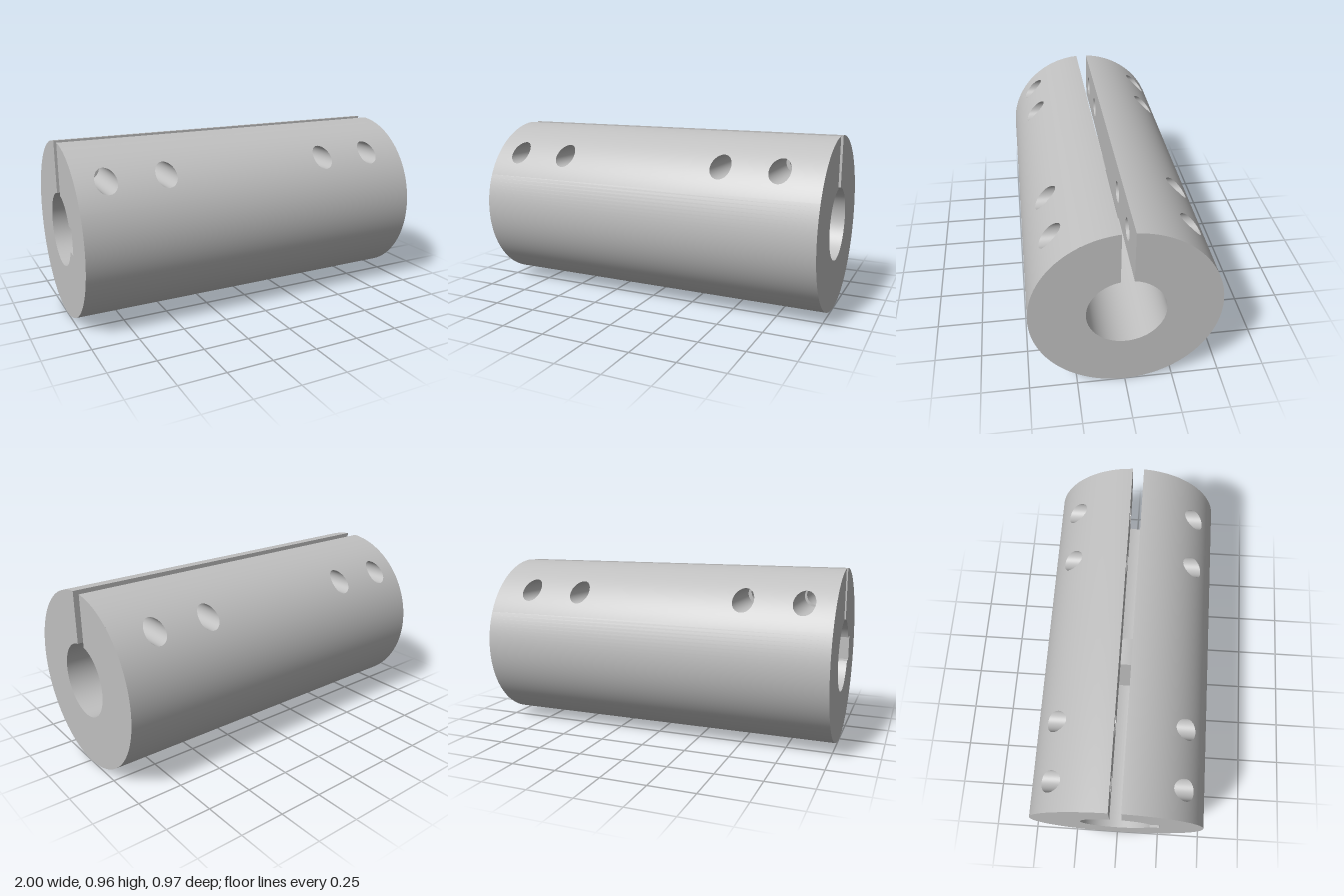
import * as THREE from 'three';
import { ParametricGeometry } from 'three/addons/geometries/ParametricGeometry.js';

const R = 0.483, BORE = 0.2, SLOT = 0.033;             // outer radius, bore radius, half slot width
const HOLE_R = 0.058, HOLE_Y = 0.327;                  // cross holes, height above the axis
const WEB = [-0.13, 0.03];                             // solid wall between the two bores
const KEY = 0.07, KEY_Z = 0.243;                       // keyway half width and depth
const A0 = Math.asin(SLOT / R), AB = Math.asin(SLOT / BORE), BAND = 1.15;
const AK = Math.asin(KEY / BORE), TAU = Math.PI * 2;
const { lerp } = THREE.MathUtils;

export function createModel() {
  const steel = new THREE.MeshStandardMaterial({ color: 0xc0c0c0 });
  steel.name = 'steel grey';
  const model = new THREE.Group();
  model.name = 'splitCoupling';
  model.position.y = R;                                // built around its axis

  const add = (name, geometry) => {
    const mesh = new THREE.Mesh(geometry, steel);
    mesh.name = name;
    model.add(mesh);
    return mesh;
  };
  const patch = (name, f, nu, nv) => add(name, new ParametricGeometry(f, nu, nv));

  // part of a cylinder wall; angles run from the top towards +z. Faces inward when x0 < x1
  const arc = (name, x0, x1, a0, a1, r, n) => patch(name, (u, v, p) => {
    const a = lerp(a0, a1, v);
    p.set(lerp(x0, x1, u), r * Math.cos(a), r * Math.sin(a));
  }, 1, n);

  // flat rectangle facing e1 x e2
  const quad = (name, o, e1, e2) => patch(name, (u, v, p) =>
    p.set(...o.map((c, i) => c + e1[i] * u + e2[i] * v)), 1, 1);

  // lower outer surface
  arc('outerShell', 1, -1, BAND, TAU - BAND, R, 96);

  // upper flanks: one cell per cross hole, on both sides of the slot
  const cells = [[-1, -0.68, -0.84], [-0.68, 0, -0.52], [0, 0.61, 0.45], [0.61, 1, 0.77]];
  const slotFloor = BORE * Math.cos(AB), slotTop = R * Math.cos(A0);
  for (const side of [1, -1]) for (const [x0, x1, hx] of cells) {
    const ring = (u, flip) => {
      const t = (flip ? 1 - u : u) * TAU - Math.PI * 0.75;
      const c = Math.cos(t), s = Math.sin(t), m = Math.max(Math.abs(c), Math.abs(s));
      return {
        x: hx + HOLE_R * c, y: HOLE_Y + HOLE_R * s,
        ex: lerp(x0, x1, (c / m + 1) / 2), q: (s / m + 1) / 2,
      };
    };
    patch('outerFlank', (u, v, p) => {
      const k = ring(u, side > 0);
      const a = lerp(Math.acos(k.y / R), lerp(BAND, A0, k.q), v);
      p.set(lerp(k.x, k.ex, v), R * Math.cos(a), side * R * Math.sin(a));
    }, 80, 12);
    patch('slotWall', (u, v, p) => {
      const k = ring(u, side < 0);
      p.set(lerp(k.x, k.ex, v), lerp(k.y, lerp(slotFloor, slotTop, k.q), v), side * SLOT);
    }, 80, 1);
    patch('crossHole', (u, v, p) => {
      const k = ring(u, side > 0);
      p.set(k.x, k.y, side * lerp(SLOT, Math.sqrt(R * R - k.y * k.y), v));
    }, 80, 1);
  }

  // bores: plain at the +x end, keyed at the -x end
  arc('rightBore', WEB[1], 1, AB, TAU - AB, BORE, 72);
  arc('leftBoreTop', -1, WEB[0], AB, Math.PI / 2 - AK, BORE, 16);
  arc('leftBore', -1, WEB[0], Math.PI / 2 + AK, TAU - AB, BORE, 56);

  // web closing the bores; its rim shows as the slot floor
  const web = add('web', new THREE.CylinderGeometry(BORE, BORE, WEB[1] - WEB[0], 96));
  web.rotation.z = Math.PI / 2;
  web.position.x = (WEB[0] + WEB[1]) / 2;

  // keyway
  const kz = BORE * Math.cos(AK), kd = KEY_Z - kz, kl = WEB[0] + 1;
  quad('keywayFloor', [-1, -KEY, KEY_Z], [0, 2 * KEY, 0], [kl, 0, 0]);
  quad('keywayTop', [-1, KEY, kz], [kl, 0, 0], [0, 0, kd]);
  quad('keywayBottom', [-1, -KEY, kz], [0, 0, kd], [kl, 0, 0]);
  quad('keywayEnd', [WEB[0], -KEY, kz], [0, 0, kd], [0, 2 * KEY, 0]);

  // end faces
  const sweep = (a0, a1, r, n) => Array.from({ length: n + 1 }, (_, i) => {
    const a = lerp(a0, a1, i / n);
    return new THREE.Vector2(r * Math.sin(a), r * Math.cos(a));
  });
  const outline = [...sweep(A0, BAND, R, 20), ...sweep(BAND, TAU - BAND, R, 96).slice(1),
    ...sweep(TAU - BAND, TAU - A0, R, 20).slice(1)];
  const plain = sweep(TAU - AB, AB, BORE, 72);
  const keyed = [...sweep(TAU - AB, Math.PI / 2 + AK, BORE, 56),
    new THREE.Vector2(KEY_Z, -KEY), new THREE.Vector2(KEY_Z, KEY),
    ...sweep(Math.PI / 2 - AK, AB, BORE, 16)];
  for (const [name, inner, side] of [['rightEnd', plain, 1], ['leftEnd', keyed, -1]]) {
    const face = add(name, new THREE.ShapeGeometry(new THREE.Shape([...outline, ...inner])));
    face.rotation.y = side * Math.PI / 2;
    face.position.x = side;
  }

  const root = new THREE.Group();
  root.name = 'coupling';
  root.add(model);
  return root;
}
